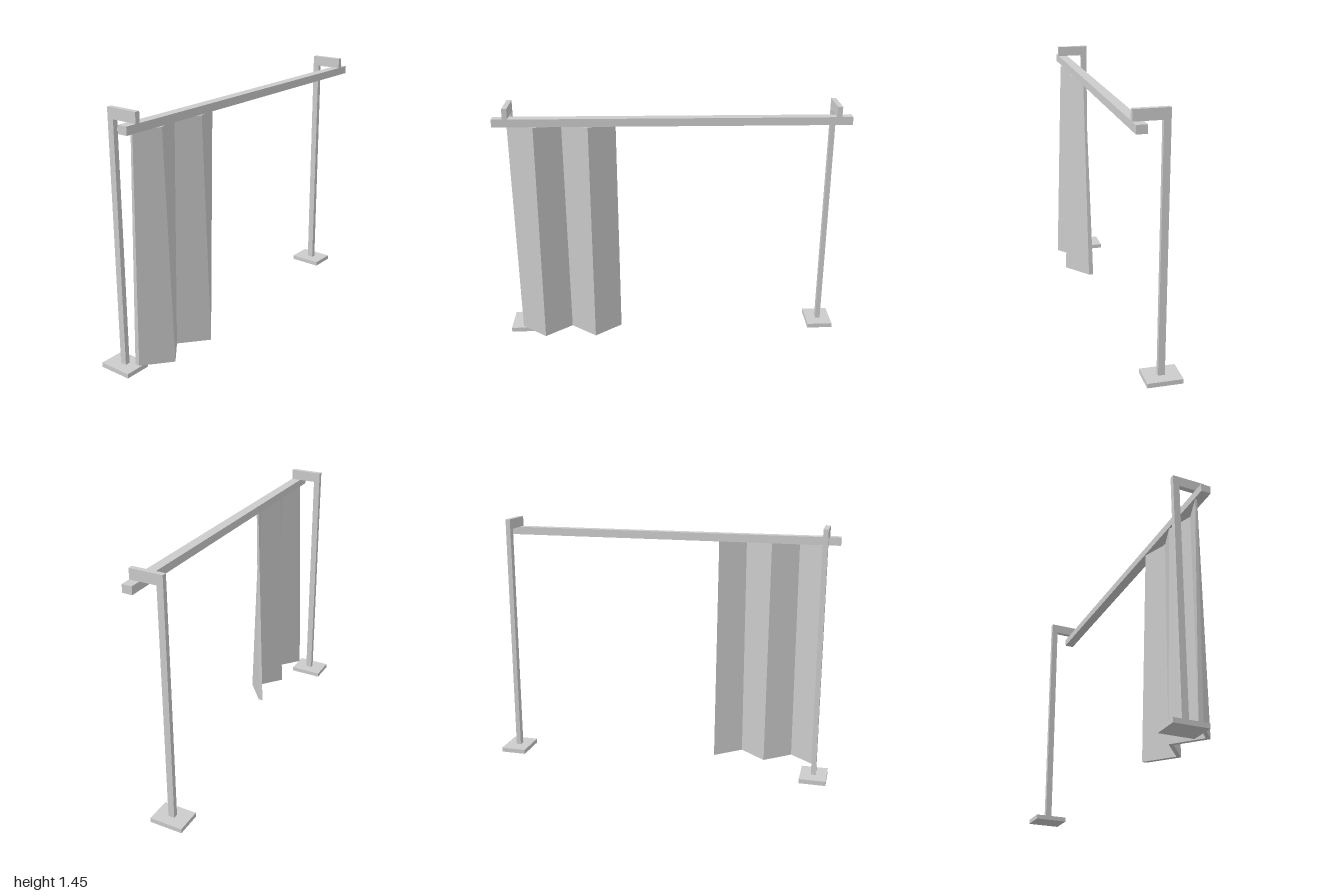
import * as THREE from 'three';

const material = new THREE.MeshStandardMaterial({ color: 0xcccccc, side: THREE.DoubleSide });

// Box given by its minimum and maximum corners
function box(name, [x0, y0, z0], [x1, y1, z1]) {
  const mesh = new THREE.Mesh(new THREE.BoxGeometry(x1 - x0, y1 - y0, z1 - z0), material);
  mesh.position.set((x0 + x1) / 2, (y0 + y1) / 2, (z0 + z1) / 2);
  mesh.name = name;
  return mesh;
}

// Base plate, upright and forward arm that carries the rail
function createStand(name, side) {
  const stand = new THREE.Group();
  stand.name = name;
  stand.add(
    box('basePlate', [-0.076, 0, -0.165], [0.076, 0.026, 0.03]),
    box('post', [-0.014, 0.026, -0.083], [0.014, 1.387, -0.046]),
    box('arm', [-0.014, 1.387, -0.083], [0.014, 1.446, 0.107])
  );
  stand.position.x = side * 0.924;
  return stand;
}

// Pleated cloth: a thick zigzag extruded upward, pleats growing deeper toward the hem
function createCurtain() {
  const hem = 0.045, top = 1.342, thickness = 0.02, midZ = 0.088;
  const front = [];
  for (let i = 0; i <= 4; i++) {
    front.push(new THREE.Vector2(-0.923 + i * 0.151, i % 2 ? -0.055 : 0.034));
  }
  const back = front.map((p) => new THREE.Vector2(p.x, p.y + thickness)).reverse();
  const geometry = new THREE.ExtrudeGeometry(new THREE.Shape([...front, ...back]), {
    depth: top - hem, bevelEnabled: false
  });
  geometry.rotateX(-Math.PI / 2);

  // Taper the depth only; each panel keeps the even normal of its mid height
  const pos = geometry.attributes.position;
  for (let i = 0; i < pos.count; i++) {
    const depthScale = THREE.MathUtils.lerp(1.4, 0.6, pos.getY(i) / (top - hem));
    pos.setZ(i, pos.getZ(i) * depthScale);
  }

  const curtain = new THREE.Mesh(geometry, material);
  curtain.position.set(0, hem, midZ);
  curtain.name = 'curtain';
  return curtain;
}

export function createModel() {
  const model = new THREE.Group();
  model.name = 'curtainStand';
  model.add(
    createStand('leftStand', 1),
    createStand('rightStand', -1),
    box('rail', [-1, 1.342, 0.05], [1, 1.387, 0.107]),
    createCurtain()
  );
  return model;
}
